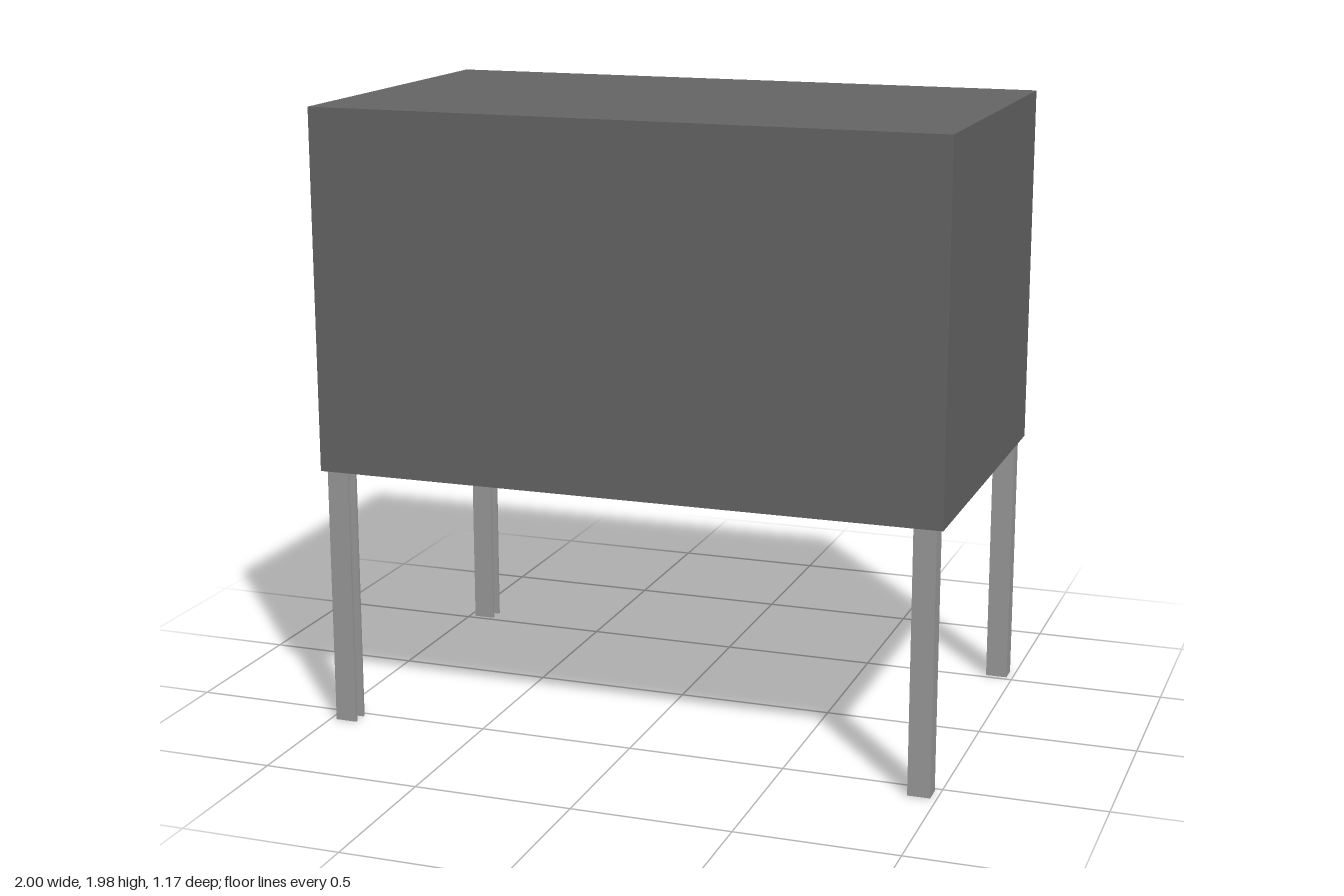
import * as THREE from 'three';

const W = 2, D = 1.17, BOTTOM = 0.83, TOP = 1.975, T = 0.006;

export function createModel() {
  const model = new THREE.Group();
  const darkPanel = new THREE.MeshStandardMaterial({ color: 0x656565 });
  darkPanel.name = 'dark panel grey';
  const steel = new THREE.MeshStandardMaterial({ color: 0x999999 });
  steel.name = 'light steel grey';

  const add = (name, geometry, material, x, y, z) => {
    const mesh = new THREE.Mesh(geometry, material);
    mesh.name = name;
    mesh.position.set(x, y, z);
    model.add(mesh);
    return mesh;
  };
  const box = (name, material, w, h, d, x, y, z) =>
    add(name, new THREE.BoxGeometry(w, h, d), material, x, y, z);

  // Hollow housing, open underneath
  const h = TOP - BOTTOM, midY = (TOP + BOTTOM) / 2;
  box('topPanel', darkPanel, W, T, D, 0, TOP - T / 2, 0);
  for (const s of [-1, 1]) {
    const end = s > 0 ? 'left' : 'right', face = s > 0 ? 'front' : 'back';
    box(end + 'Panel', darkPanel, T, h - T, D, s * (W - T) / 2, midY - T / 2, 0);
    box(face + 'Panel', darkPanel, W - 2 * T, h - T, T, 0, midY - T / 2, s * (D - T) / 2);
    // Folded lower lip and the frame rail resting on it
    box(face + 'Lip', darkPanel, W - 2 * T, T, 0.055, 0, BOTTOM + T / 2, s * (D / 2 - T - 0.0275));
    box(face + 'Rail', steel, 1.82, 0.055, 0.07, 0, BOTTOM + T + 0.0275, s * 0.54);
  }

  // Channel-section legs, running up inside the housing, open towards the middle
  const lw = 0.07, ld = 0.06, t = 0.01, legH = TOP - T - 0.005;
  const section = (dir) => {
    const points = [
      [-lw / 2, -ld / 2], [lw / 2, -ld / 2], [lw / 2, -ld / 2 + t], [-lw / 2 + t, -ld / 2 + t],
      [-lw / 2 + t, ld / 2 - t], [lw / 2, ld / 2 - t], [lw / 2, ld / 2], [-lw / 2, ld / 2],
    ];
    return new THREE.Shape(points.map(([x, y]) => new THREE.Vector2(dir * x, y)));
  };
  for (const sx of [-1, 1]) {
    const geometry = new THREE.ExtrudeGeometry(section(-sx), { depth: legH, bevelEnabled: false });
    geometry.rotateX(-Math.PI / 2);
    for (const sz of [-1, 1]) {
      const name = (sz > 0 ? 'front' : 'back') + (sx > 0 ? 'Left' : 'Right') + 'Leg';
      add(name, geometry, steel, sx * 0.945, 0, sz * 0.548);
    }
  }
  return model;
}
